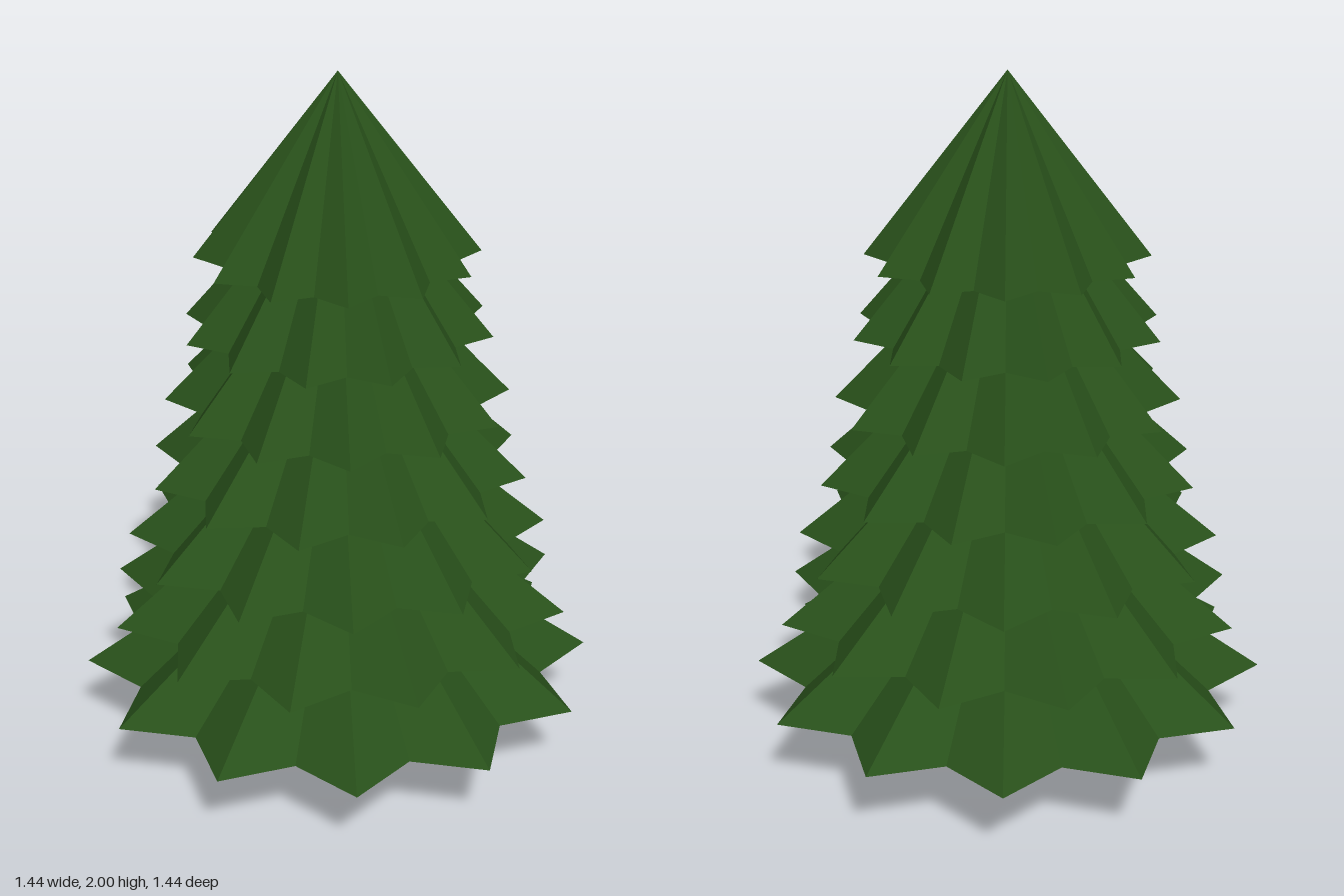
import * as THREE from 'three';

// Flat-shaded skin through rings of [x, y, z] points, with a fan closing the bottom.
function loft(rings, color, name) {
  const pos = [];
  const a = new THREE.Vector3(), b = new THREE.Vector3(), c = new THREE.Vector3();
  const tri = (p, q, r) => {
    a.set(...p); b.set(...q).sub(a); c.set(...r).sub(a);
    if (b.cross(c).length() > 1e-7) pos.push(...p, ...q, ...r); // skip collapsed corners
  };
  const n = rings[0].length;
  const centre = [0, rings[0][0][1], 0];
  for (let i = 0; i < n; i++) {
    const j = (i + 1) % n;
    tri(centre, rings[0][i], rings[0][j]);
    for (let k = 0; k + 1 < rings.length; k++) {
      const lo = rings[k], hi = rings[k + 1];
      tri(lo[i], hi[i], lo[j]);
      tri(hi[i], hi[j], lo[j]);
    }
  }
  const geo = new THREE.BufferGeometry();
  geo.setAttribute('position', new THREE.Float32BufferAttribute(pos, 3));
  geo.computeVertexNormals();
  const mesh = new THREE.Mesh(geo, new THREE.MeshStandardMaterial({ color, flatShading: true }));
  mesh.name = name;
  return mesh;
}

// Twelve-pointed star cone; every other tier is turned by half a point.
function branchTier(index, y, radius) {
  const base = [], tip = [];
  const turn = index % 2 === 0 ? Math.PI / 12 : 0;
  for (let i = 0; i < 24; i++) {
    const r = i % 2 === 0 ? radius : radius * 0.816;
    const t = turn + (i * Math.PI) / 12;
    base.push([r * Math.cos(t), y, r * Math.sin(t)]);
    tip.push([0, y + 0.515, 0]);
  }
  return loft([base, tip], 0x28501a, 'branchTier' + (index + 1));
}

// Repeats one quarter of a trunk outline four times around the axis.
function quarterRing(y, quarter) {
  const ring = [];
  for (let q = 0; q < 4; q++) {
    for (const [x, z] of quarter) {
      let px = x, pz = z;
      for (let k = 0; k < q; k++) [px, pz] = [-pz, px];
      ring.push([px, y, pz]);
    }
  }
  return ring;
}

export function createModel() {
  const tree = new THREE.Group();
  tree.name = 'tree';

  // Octagonal trunk with four blunt root flares on the diagonals
  const octagon = (u, v) => [[u, v], [u, v], [v, u], [v, u]];
  tree.add(loft([
    quarterRing(0, [[0.12, 0.05], [0.222, 0.175], [0.175, 0.222], [0.05, 0.12]]),
    quarterRing(0.07, octagon(0.115, 0.048)),
    quarterRing(0.25, octagon(0.085, 0.035)),
  ], 0xa0563c, 'trunk'));

  // Stacked branch tiers
  const radii = [0.743, 0.667, 0.604, 0.54, 0.487, 0.435, 0.396];
  radii.forEach((r, i) => tree.add(branchTier(i, 0.215 + i * 0.2117, r)));
  return tree;
}
